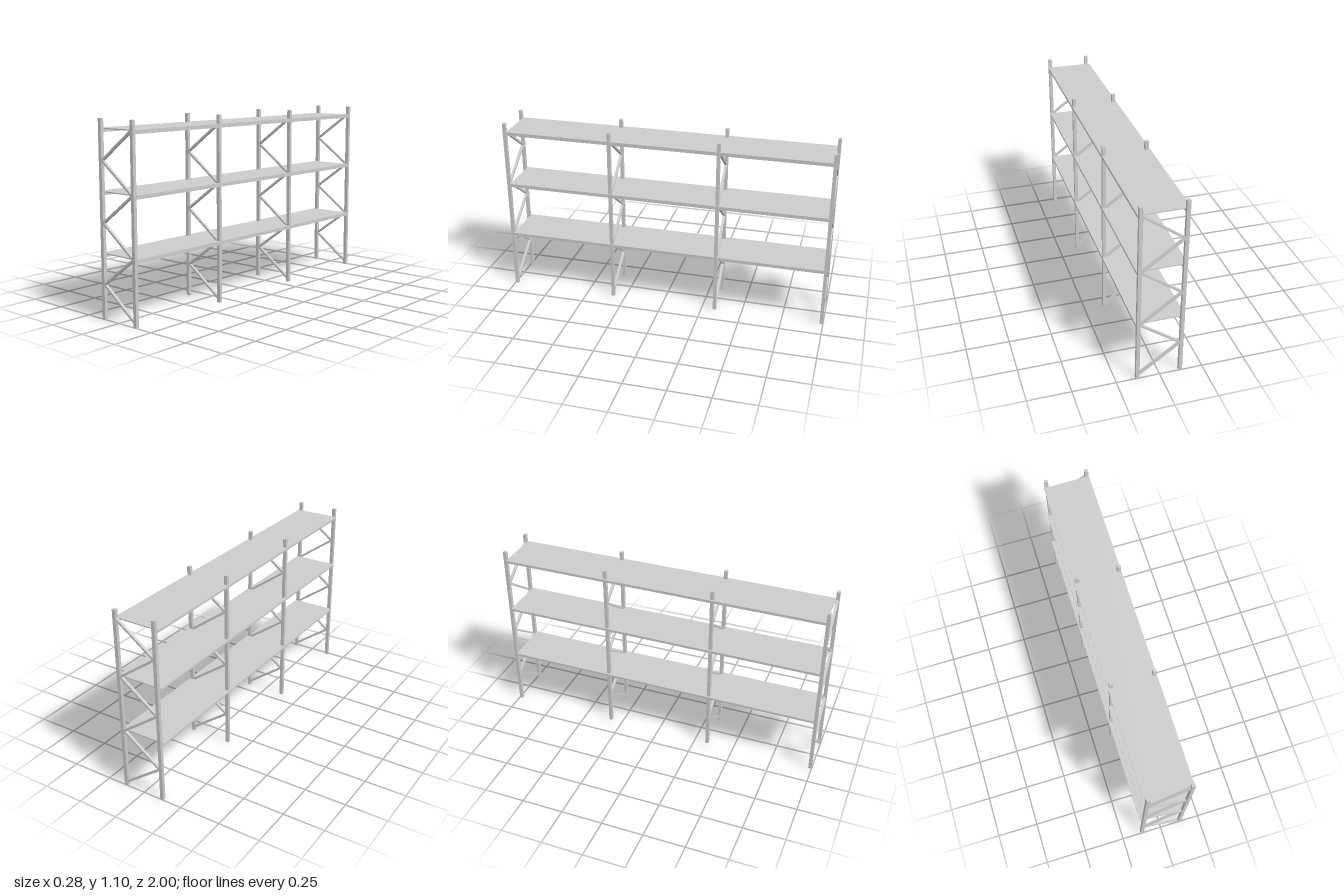
import * as THREE from 'three';

export function createModel() {
  const rack = new THREE.Group();
  rack.name = 'shelvingRack';
  const material = new THREE.MeshStandardMaterial({ color: 0xcccccc, flatShading: true });

  const box = (name, parent, w, h, d, x, y, z) => {
    const mesh = new THREE.Mesh(new THREE.BoxGeometry(w, h, d), material);
    mesh.name = name;
    mesh.position.set(x, y, z);
    parent.add(mesh);
    return mesh;
  };

  const height = 1.1, post = 0.021;
  const postXs = [-0.122, 0.127];
  const shelfTops = [0.368, 0.708, 1.048];
  const shelfThickness = 0.006, beamHeight = 0.016;

  // Four upright frames, each with two posts and a zigzag of braces
  for (const z of [-0.99, -0.33, 0.33, 0.99]) {
    const frame = new THREE.Group();
    frame.name = 'uprightFrame';
    frame.position.z = z;
    rack.add(frame);

    for (const x of postXs) box('post', frame, post, height, 0.02, x, height / 2, 0);

    for (let i = 0; i < 6; i++) {
      const rightToLeft = i % 2 === 0;
      const x0 = rightToLeft ? 0.119 : -0.114;
      const x1 = rightToLeft ? -0.114 : 0.119;
      const y0 = 0.025 + i * 0.17, y1 = y0 + 0.17;
      const brace = box('diagonalBrace', frame, Math.hypot(x1 - x0, y1 - y0), 0.012, 0.016,
        (x0 + x1) / 2, (y0 + y1) / 2, 0);
      brace.rotation.z = Math.atan2(y1 - y0, x1 - x0);
    }
  }

  // Three shelf levels: a thin board resting on two long beams
  for (const top of shelfTops) {
    box('shelfBoard', rack, 0.282, shelfThickness, 1.96, -0.001, top - shelfThickness / 2, 0);
    for (const x of postXs) {
      box('longBeam', rack, 0.02, beamHeight, 1.96, x, top - shelfThickness - beamHeight / 2, 0);
    }
  }

  return rack;
}
